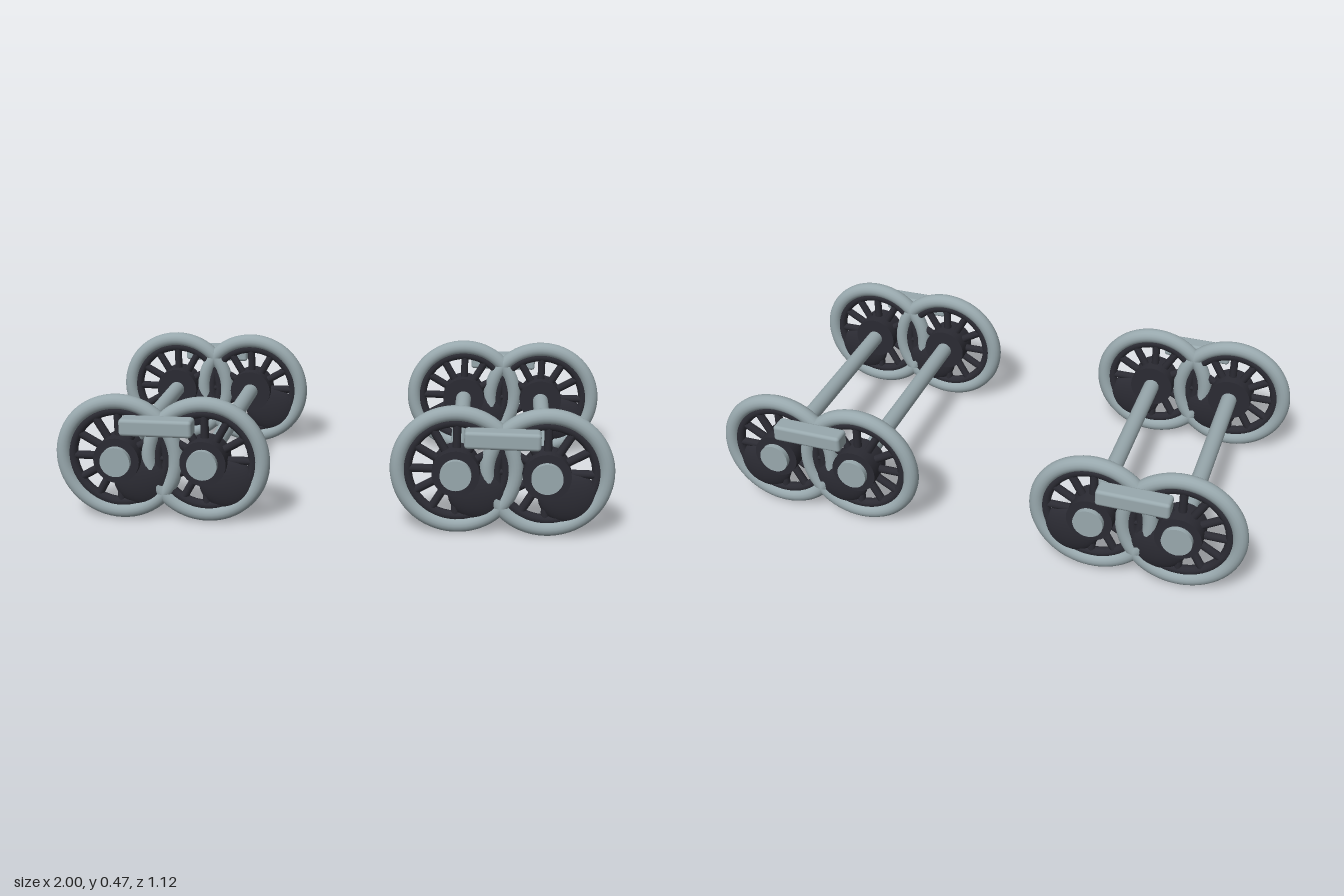
import * as THREE from 'three';
import { RoundedBoxGeometry } from 'three/addons/geometries/RoundedBoxGeometry.js';

const WHEEL_Y = 0.236, WHEEL_Z = 0.459, SPOKES = 12;

export function createModel() {
  const steel = new THREE.MeshStandardMaterial({ color: 0x98a8ad });
  steel.name = 'pale steel';
  const iron = new THREE.MeshStandardMaterial({ color: 0x2b2b33 });
  iron.name = 'dark iron';

  const add = (parent, name, geometry, material, x = 0, y = 0, z = 0) => {
    const mesh = new THREE.Mesh(geometry, material);
    mesh.name = name;
    mesh.position.set(x, y, z);
    parent.add(mesh);
    return mesh;
  };
  // Cylinder lying along z
  const rod = (radius, length) =>
    new THREE.CylinderGeometry(radius, radius, length, 32).rotateX(Math.PI / 2);

  const tyreGeo = new THREE.TorusGeometry(0.207, 0.028, 16, 64);
  const innerRimGeo = new THREE.TorusGeometry(0.174, 0.018, 10, 48);
  const hubGeo = rod(0.084, 0.103);
  const capGeo = rod(0.055, 0.03);
  const axleGeo = rod(0.031, 0.9);
  const spokeGeo = new THREE.CylinderGeometry(0.015, 0.015, 0.11, 10).translate(0, 0.12, 0);
  const weightGeo = new THREE.SphereGeometry(1, 32, 20).scale(0.104, 0.098, 0.035);
  const barGeo = new RoundedBoxGeometry(0.262, 0.062, 0.07, 3, 0.012);

  // One spoked wheel; side is +1 at the front, -1 at the back
  function makeWheel(side) {
    const wheel = new THREE.Group();
    wheel.name = 'wheel';
    add(wheel, 'tyre', tyreGeo, steel);
    add(wheel, 'innerRim', innerRimGeo, iron);
    add(wheel, 'hub', hubGeo, iron, 0, 0, side * 0.0015);
    add(wheel, 'hubCap', capGeo, steel, 0, 0, side * 0.058);
    add(wheel, 'counterweight', weightGeo, iron, 0.076, -0.086, 0);
    for (let i = 0; i < SPOKES; i++) {
      add(wheel, 'spoke', spokeGeo, iron).rotation.z = (i / SPOKES) * Math.PI * 2;
    }
    return wheel;
  }

  const model = new THREE.Group();
  model.name = 'wheelsets';
  for (const bx of [-0.607, 0.607]) {
    const bogie = new THREE.Group();
    bogie.name = bx < 0 ? 'rightBogie' : 'leftBogie';
    bogie.position.x = bx;
    model.add(bogie);
    // Two axles with a wheel at each end
    for (const ax of [-0.158, 0.158]) {
      add(bogie, 'axle', axleGeo, steel, ax, WHEEL_Y, 0);
      for (const side of [1, -1]) {
        const wheel = makeWheel(side);
        wheel.position.set(ax, WHEEL_Y, side * WHEEL_Z);
        bogie.add(wheel);
      }
    }
    // Side bars joining each wheel pair
    for (const side of [1, -1]) add(bogie, 'sideBar', barGeo, steel, 0, 0.375, side * 0.523);
  }
  return model;
}
